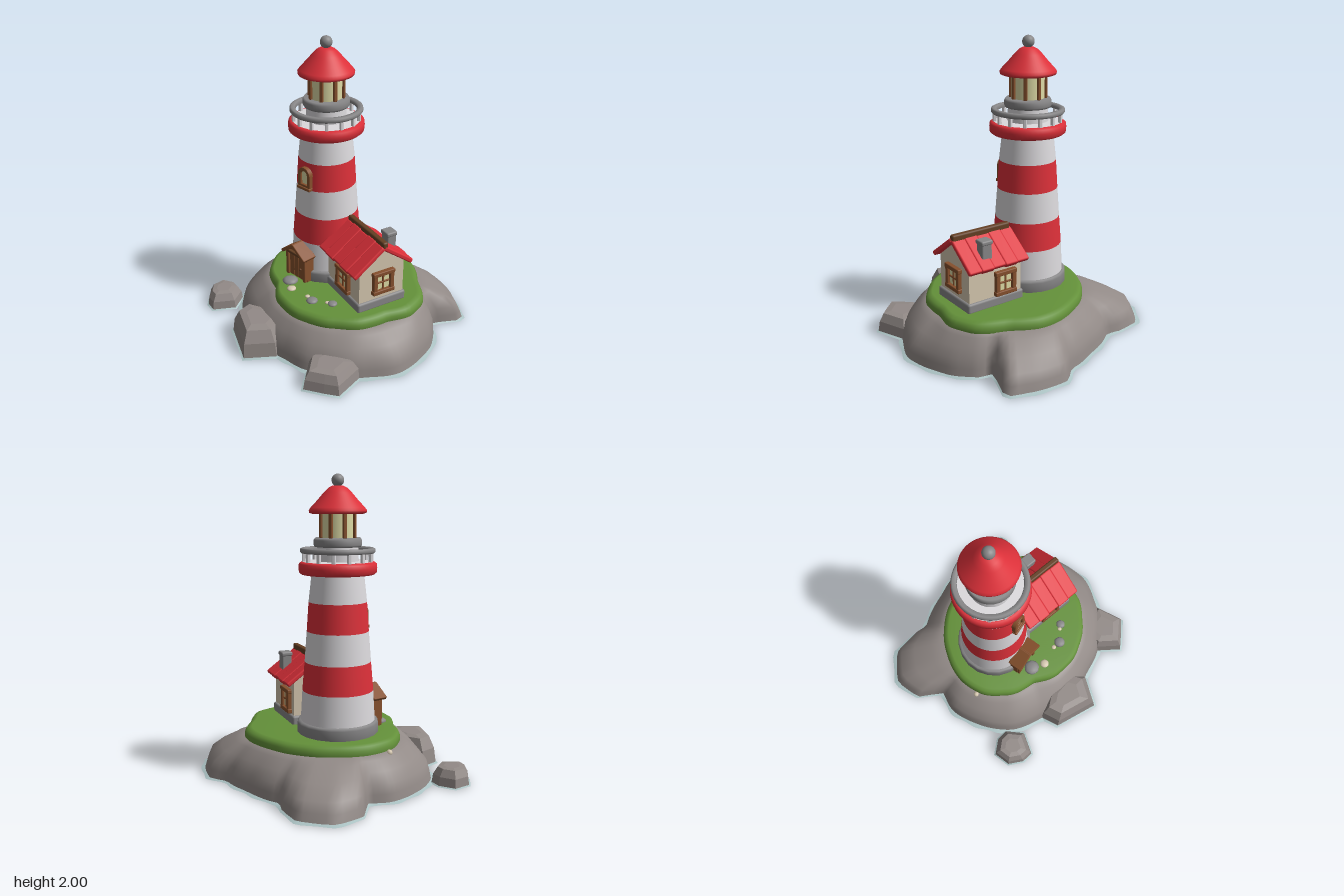
import * as THREE from 'three';
import { RoundedBoxGeometry } from 'three/addons/geometries/RoundedBoxGeometry.js';

const mat = (name, color) => {
  const m = new THREE.MeshStandardMaterial({ color, side: THREE.DoubleSide });
  m.name = name;
  return m;
};
const red = mat('red paint', 0xdc3039), white = mat('white paint', 0xdcdadd), rockMat = mat('rock', 0x928a87);
const stone = mat('grey stone', 0x888788), grassMat = mat('grass', 0x64913a), foamMat = mat('foam', 0xacc3c4);
const wood = mat('brown wood', 0x86502d), darkWood = mat('dark wood', 0x654024);
const cream = mat('cream plaster', 0xd6c8b0), glass = mat('warm glass', 0xdedba6);

const add = (parent, name, geometry, material, x = 0, y = 0, z = 0) => {
  const m = new THREE.Mesh(geometry, material);
  m.name = name;
  m.position.set(x, y, z);
  parent.add(m);
  return m;
};
const group = (parent, name, x = 0, y = 0, z = 0, turn = 0) => {
  const g = new THREE.Group();
  g.name = name;
  g.position.set(x, y, z);
  g.rotation.y = turn;
  parent.add(g);
  return g;
};
const box = (w, h, d, r = 0.006) => new RoundedBoxGeometry(w, h, d, 2, r);
const lathe = (pts, n = 48) => new THREE.LatheGeometry(pts.map(p => new THREE.Vector2(...p)), n);
const extrude = (shape, depth, bevel = 0) => new THREE.ExtrudeGeometry(shape,
  { depth, bevelEnabled: bevel > 0, bevelSize: bevel, bevelThickness: bevel, bevelSegments: 2, curveSegments: 10 });

// Radius around the origin as a smooth function of angle, from outline points
function polar(points) {
  const p = points.map(([x, z]) => [Math.atan2(z, x), Math.hypot(x, z)]).sort((a, b) => a[0] - b[0]);
  return angle => {
    const a = Math.atan2(Math.sin(angle), Math.cos(angle));
    let i = p.findIndex(q => q[0] > a);
    if (i < 0) i = 0;
    const lo = p[(i + p.length - 1) % p.length], hi = p[i], turn = Math.PI * 2;
    const span = (hi[0] - lo[0] + turn) % turn, t = ((a - lo[0] + turn) % turn) / span;
    return lo[1] + (hi[1] - lo[1]) * (0.5 * t + 0.5 * t * t * (3 - 2 * t));
  };
}

// Skin over closed loops of points, listed from the outside or bottom inward
function loft(loops, flat = false) {
  const n = loops[0].length, index = [];
  for (let r = 0; r < loops.length - 1; r++) {
    for (let j = 0; j < n; j++) {
      const a = r * n + j, b = r * n + (j + 1) % n;
      index.push(a, a + n, b, b, a + n, b + n);
    }
  }
  let g = new THREE.BufferGeometry();
  g.setAttribute('position', new THREE.Float32BufferAttribute(loops.flat(2), 3));
  g.setIndex(index);
  if (flat) g = g.toNonIndexed();
  g.computeVertexNormals();
  return g;
}
const ring = (n, f) => Array.from({ length: n }, (_, i) => f(i / n * Math.PI * 2));

// Faceted boulder with a foam rim
function boulder(parent, name, outline, height, top) {
  const cx = outline.reduce((s, p) => s + p[0], 0) / outline.length;
  const cz = outline.reduce((s, p) => s + p[1], 0) / outline.length;
  const pts = outline.map(([x, z]) => [x - cx, z - cz]).sort((a, b) => Math.atan2(a[1], a[0]) - Math.atan2(b[1], b[0]));
  const row = (s, y) => pts.map(([x, z]) => [x * s, y, z * s]);
  const g = group(parent, name, cx, 0, cz);
  add(g, 'boulder', loft([row(1, 0), row(0.92, height * 0.55), row(top, height * 0.95), row(top * 0.6, height), row(0, height)], true), rockMat);
  add(g, 'foam rim', loft([row(1.08, 0.003), row(0.98, 0.01)]), foamMat);
}

function buildIsland(root) {
  const g = group(root, 'island');
  const shore = polar([[-0.58, -0.3], [-0.7, -0.47], [-0.66, -0.66], [-0.47, -0.78], [-0.33, -0.75], [-0.19, -0.68],
    [0.08, -0.7], [0.32, -0.68], [0.48, -0.72], [0.7, -0.59], [0.81, -0.49], [0.74, -0.4], [0.63, -0.3], [0.73, -0.22],
    [0.79, -0.07], [0.77, 0.27], [0.61, 0.45], [0.3, 0.61], [0.07, 0.62], [-0.15, 0.6], [-0.4, 0.47],
    [-0.6, 0.29], [-0.67, 0.07], [-0.67, -0.16]]);
  const lawn = polar([[0, -0.54], [0.39, -0.48], [0.51, -0.34], [0.66, -0.16], [0.67, 0], [0.58, 0.16], [0.5, 0.32],
    [0.34, 0.43], [0.12, 0.49], [-0.11, 0.44], [-0.25, 0.31], [-0.42, 0.18], [-0.5, 0], [-0.48, -0.18], [-0.36, -0.36], [-0.2, -0.48]]);
  const N = 120;
  const slope = [[0, 0], [0.06, 0.06], [0.14, 0.12], [0.4, 0.185], [0.72, 0.24], [0.9, 0.262], [1.05, 0.265]];
  add(g, 'rock base', loft(slope.map(([t, y]) => ring(N, a => {
    const r = shore(a) * (1 - t) + lawn(a) * 0.98 * t;
    return [r * Math.cos(a), y, r * Math.sin(a)];
  }))), rockMat);
  add(g, 'foam rim', loft([[0.022, 0.003], [-0.01, 0.012]].map(([d, y]) => ring(N, a => {
    const r = shore(a) + d + (d > 0 ? 0.006 * Math.sin(a * 23) : 0);
    return [r * Math.cos(a), y, r * Math.sin(a)];
  }))), foamMat);

  // Lawn, open beneath the tower
  const edge = [[0.985, 0.235], [1, 0.265], [0.995, 0.295], [0.97, 0.318], [0.92, 0.329]];
  const lawnLoops = edge.map(([s, y]) => ring(N, a => [lawn(a) * s * Math.cos(a), y, lawn(a) * s * Math.sin(a)]));
  lawnLoops.push(ring(N, a => [-0.11 + 0.24 * Math.cos(a), 0.333, -0.09 + 0.24 * Math.sin(a)]));
  add(g, 'lawn', loft(lawnLoops), grassMat);

  boulder(g, 'front right boulder', [[-0.4, 0.46], [-0.4, 0.6], [-0.13, 0.78], [0.03, 0.63], [0, 0.48], [-0.25, 0.42]], 0.2, 0.72);
  boulder(g, 'front left boulder', [[0.27, 0.6], [0.37, 0.77], [0.5, 0.72], [0.59, 0.68], [0.59, 0.45], [0.43, 0.42], [0.3, 0.47]], 0.14, 0.75);
  boulder(g, 'lone boulder', [[-0.83, 0.4], [-0.81, 0.28], [-0.7, 0.245], [-0.62, 0.27], [-0.57, 0.4], [-0.68, 0.52], [-0.76, 0.49]], 0.12, 0.7);

  // Stepping stones and pebbles
  [[-0.165, 0.25, 0.055, stone], [-0.095, 0.32, 0.032, cream], [0.105, 0.345, 0.04, stone],
    [0.235, 0.29, 0.033, stone], [0.05, 0.325, 0.017, cream], [0.2, 0.3, 0.016, cream]].forEach(([x, z, r, m]) => {
    add(g, 'pebble', new THREE.IcosahedronGeometry(r, 1), m, x, 0.333, z).scale.y = 0.45;
  });
  add(g, 'pebble', new THREE.IcosahedronGeometry(0.02, 1), cream, -0.515, 0.255, -0.03);
}

function buildTower(root) {
  const g = group(root, 'tower', -0.11, 0, -0.09);
  add(g, 'stone footing', lathe([[0.25, 0.31], [0.268, 0.325], [0.268, 0.395], [0.26, 0.41], [0.24, 0.412]], 20), stone);
  // Painted bands
  const bands = [[0.245, 0.4], [0.233, 0.61], [0.217, 0.8], [0.202, 1.0], [0.189, 1.19], [0.168, 1.38]];
  for (let i = 0; i < 5; i++) add(g, 'painted band', lathe([bands[i], bands[i + 1]]), i % 2 ? red : white);

  // Gallery with railing
  add(g, 'gallery rim', lathe([[0.165, 1.37], [0.235, 1.368], [0.25, 1.38], [0.253, 1.41], [0.25, 1.436], [0.235, 1.447], [0.21, 1.447]]), red);
  add(g, 'gallery floor', lathe([[0.225, 1.449], [0.12, 1.452]]), white);
  for (let i = 0; i < 14; i++) {
    const a = (i + 0.5) / 14 * Math.PI * 2;
    add(g, 'baluster', box(0.024, 0.07, 0.024), white, Math.sin(a) * 0.218, 1.477, Math.cos(a) * 0.218).rotation.y = a;
  }
  add(g, 'hand rail', lathe([[0.205, 1.505], [0.235, 1.503], [0.242, 1.513], [0.24, 1.53], [0.23, 1.536], [0.208, 1.534], [0.203, 1.52], [0.205, 1.505]]), stone);

  // Lantern room
  add(g, 'lantern drum', lathe([[0.135, 1.445], [0.13, 1.545]]), white);
  add(g, 'lantern sill', lathe([[0.125, 1.54], [0.148, 1.542], [0.155, 1.555], [0.154, 1.585], [0.145, 1.6], [0, 1.602]]), stone);
  add(g, 'lantern glass', lathe([[0.11, 1.6], [0.11, 1.77]], 24), glass);
  for (let i = 0; i < 8; i++) {
    const a = (i + 0.5) / 8 * Math.PI * 2;
    add(g, 'lantern post', box(0.024, 0.165, 0.022), wood, Math.sin(a) * 0.114, 1.68, Math.cos(a) * 0.114).rotation.y = a;
  }
  add(g, 'lantern roof', lathe([[0, 1.755], [0.165, 1.75], [0.182, 1.756], [0.185, 1.772], [0.172, 1.79], [0.13, 1.835],
    [0.09, 1.882], [0.06, 1.912], [0.035, 1.925], [0, 1.928]]), red);
  add(g, 'finial', new THREE.SphereGeometry(0.04, 24, 16), stone, 0, 1.96, 0);

  // Arched window
  const arch = (C, w, y0, y1) => {
    const s = new C();
    s.moveTo(-w, y0).lineTo(w, y0).lineTo(w, y1).absarc(0, y1, w, 0, Math.PI, false).lineTo(-w, y0);
    return s;
  };
  const win = group(g, 'arched window', 0, 0, 0, -0.1);
  const frame = arch(THREE.Shape, 0.05, 1.01, 1.107);
  frame.holes.push(arch(THREE.Path, 0.033, 1.035, 1.107));
  add(win, 'arched frame', extrude(frame, 0.04, 0.004), wood, 0, 0, 0.175);
  add(win, 'arched pane', new THREE.ShapeGeometry(arch(THREE.Shape, 0.038, 1.03, 1.107)), glass, 0, 0, 0.203);
  add(win, 'window sill', box(0.115, 0.022, 0.04), wood, 0, 1.012, 0.207);

  // Porch door
  const door = group(g, 'door porch', 0, 0, 0, -0.15);
  const porch = new THREE.Shape([[-0.1, 0.335], [0.1, 0.335], [0.1, 0.52], [0, 0.585], [-0.1, 0.52]].map(p => new THREE.Vector2(...p)));
  add(door, 'door frame', extrude(porch, 0.09), wood, 0, 0, 0.19);
  for (let i = -1; i <= 1; i++) add(door, 'door plank', box(0.043, 0.17, 0.012, 0.004), wood, i * 0.046, 0.425, 0.283);
  for (const s of [-1, 1]) {
    add(door, 'door seam', box(0.005, 0.17, 0.006, 0.002), darkWood, s * 0.023, 0.425, 0.282);
    add(door, 'door jamb', box(0.026, 0.19, 0.03), wood, s * 0.085, 0.43, 0.285);
    add(door, 'porch roof', box(0.145, 0.024, 0.11), wood, s * 0.055, 0.562, 0.27).rotation.z = -s * 0.62;
  }
  add(door, 'door lintel', box(0.18, 0.022, 0.03), darkWood, 0, 0.522, 0.285);
  add(door, 'door knob', new THREE.SphereGeometry(0.009, 12, 8), darkWood, 0.045, 0.42, 0.293);
}

// Four-pane cottage window facing +z
function paneWindow(parent, x, y, z, turn) {
  const g = group(parent, 'cottage window', x, y, z, turn), w = 0.15, h = 0.165;
  add(g, 'pane', new THREE.BoxGeometry(w - 0.02, h - 0.02, 0.008), glass, 0, 0, 0.004);
  for (const s of [-1, 1]) {
    add(g, 'frame side', box(0.03, h, 0.035), wood, s * (w / 2 - 0.012), 0, 0.01);
    add(g, 'frame rail', box(w + 0.015, 0.03, 0.04), wood, 0, s * (h / 2 - 0.014), 0.01);
  }
  add(g, 'upright bar', box(0.013, h - 0.02, 0.02, 0.004), wood, 0, 0, 0.006);
  add(g, 'cross bar', box(w - 0.02, 0.013, 0.02, 0.004), wood, 0, 0, 0.006);
}

function buildCottage(root) {
  const g = group(root, 'cottage', 0.303, 0, 0.018, -0.393);
  add(g, 'stone footing', box(0.43, 0.07, 0.37, 0.015), stone, 0, 0.355, 0);
  const wall = new THREE.Shape([[-0.17, 0.34], [0.17, 0.34], [0.17, 0.62], [0, 0.75], [-0.17, 0.62]].map(p => new THREE.Vector2(...p)));
  add(g, 'walls', extrude(wall, 0.4).translate(0, 0, -0.2).rotateY(Math.PI / 2), cream);
  // Overlapping roof courses on both slopes
  for (const s of [-1, 1]) {
    for (let i = 0; i < 5; i++) {
      const extra = [0, 0.008, -0.004, 0.006, 0][i];
      const c = add(g, 'roof course', box(0.096, 0.032 + (i % 2) * 0.008, 0.272 + extra, 0.01), red, (i - 2) * 0.09, 0.69, s * 0.112);
      c.rotation.x = s * 0.635;
    }
  }
  add(g, 'ridge beam', box(0.44, 0.048, 0.04, 0.012), darkWood, 0.005, 0.786, -0.01);
  add(g, 'chimney', box(0.075, 0.17, 0.07, 0.01), stone, 0.063, 0.7, -0.14);
  add(g, 'chimney cap', box(0.085, 0.03, 0.08, 0.01), stone, 0.063, 0.772, -0.14);
  paneWindow(g, 0.013, 0.482, 0.17, 0);
  paneWindow(g, 0.2, 0.515, -0.005, Math.PI / 2);
  paneWindow(g, -0.07, 0.478, -0.17, Math.PI);
}

export function createModel() {
  const root = new THREE.Group();
  root.name = 'lighthouse';
  buildIsland(root);
  buildTower(root);
  buildCottage(root);
  return root;
}
